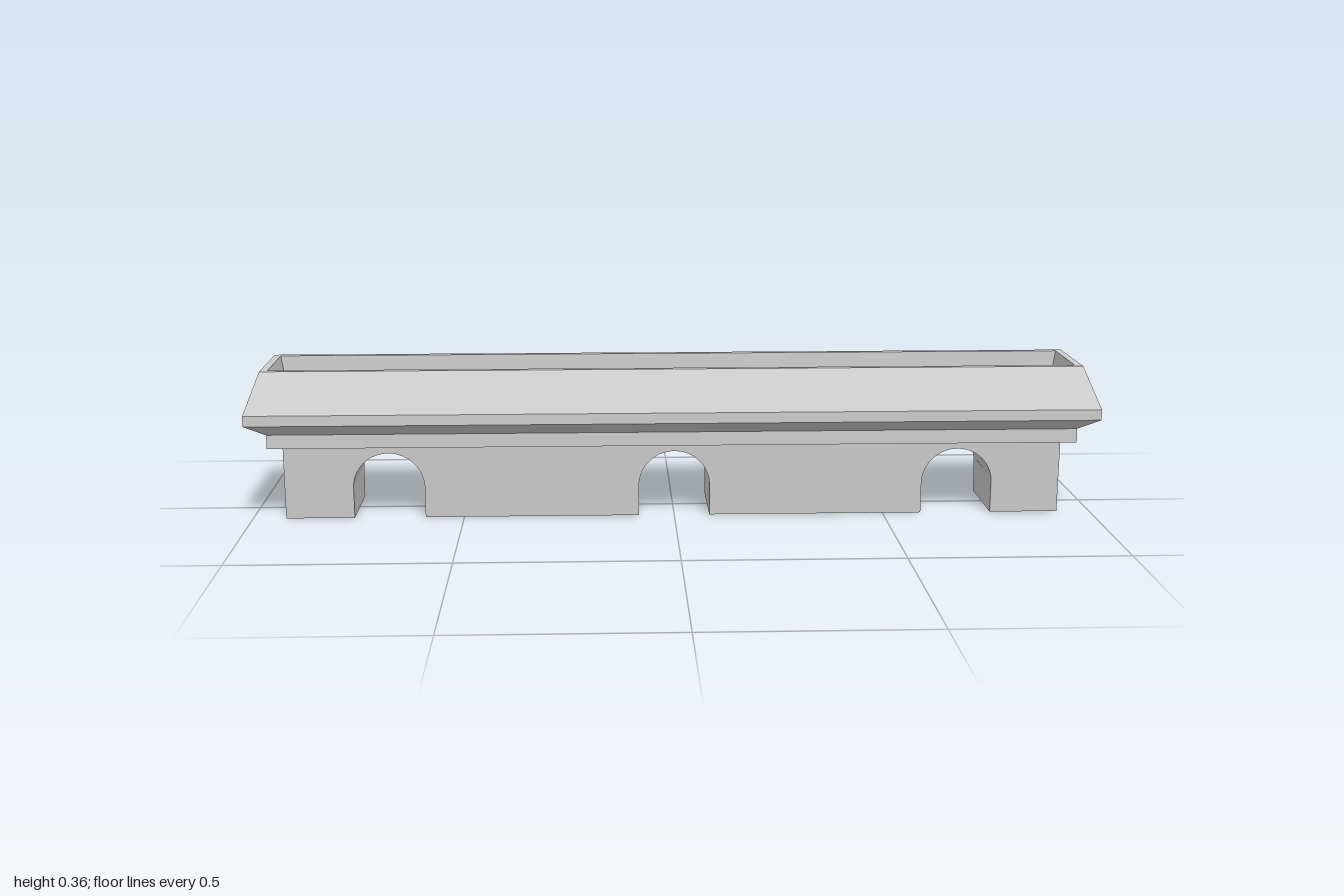
import * as THREE from 'three';
import { toCreasedNormals } from 'three/addons/utils/BufferGeometryUtils.js';

const material = new THREE.MeshStandardMaterial({ color: 0xcccccc });

function addPart(group, name, geometry) {
  const mesh = new THREE.Mesh(geometry, material);
  mesh.name = name;
  group.add(mesh);
}

// Skin a stack of rectangles [halfX, y, halfZ] with flat, sharp-edged walls.
function rectLoft(rings) {
  const pos = [];
  const corner = ([x, y, z], i) =>
    [[x, y, z], [x, y, -z], [-x, y, -z], [-x, y, z]][i % 4];
  for (let r = 0; r < rings.length - 1; r++) {
    for (let i = 0; i < 4; i++) {
      const a = corner(rings[r], i), b = corner(rings[r], i + 1);
      const c = corner(rings[r + 1], i + 1), d = corner(rings[r + 1], i);
      pos.push(...a, ...b, ...c, ...a, ...c, ...d);
    }
  }
  const geo = new THREE.BufferGeometry();
  geo.setAttribute('position', new THREE.Float32BufferAttribute(pos, 3));
  geo.computeVertexNormals();
  return geo;
}

// Base with three arched passages, slightly wider in depth at the top.
function baseGeometry() {
  const half = 0.922, height = 0.177, radius = 0.084, spring = 0.074;
  const shape = new THREE.Shape();
  shape.moveTo(-half, 0);
  for (const x of [-0.676, 0, 0.676]) {
    shape.lineTo(x - radius, 0);
    shape.lineTo(x - radius, spring);
    shape.absarc(x, spring, radius, Math.PI, 0, true);
    shape.lineTo(x + radius, 0);
  }
  shape.lineTo(half, 0);
  shape.lineTo(half, height);
  shape.lineTo(-half, height);
  shape.closePath();

  const geo = new THREE.ExtrudeGeometry(shape, { depth: 2, bevelEnabled: false, curveSegments: 24 });
  geo.translate(0, 0, -1);
  const p = geo.attributes.position;
  for (let i = 0; i < p.count; i++) {
    p.setZ(i, p.getZ(i) * (0.105 + 0.009 * p.getY(i) / height));
  }
  return toCreasedNormals(geo, 0.5);
}

export function createModel() {
  const group = new THREE.Group();
  group.name = 'trough';

  addPart(group, 'archedBase', baseGeometry());

  // Ledge, flared moulding, sloped rim and hollow basin in one profile.
  addPart(group, 'basin', rectLoft([
    [0, 0.177, 0],
    [0.955, 0.177, 0.139],
    [0.955, 0.21, 0.139],
    [1.0, 0.24, 0.185],
    [1.0, 0.265, 0.185],
    [0.969, 0.356, 0.114],
    [0.952, 0.356, 0.098],
    [0.925, 0.19, 0.09],
    [0, 0.19, 0],
  ]));

  return group;
}
